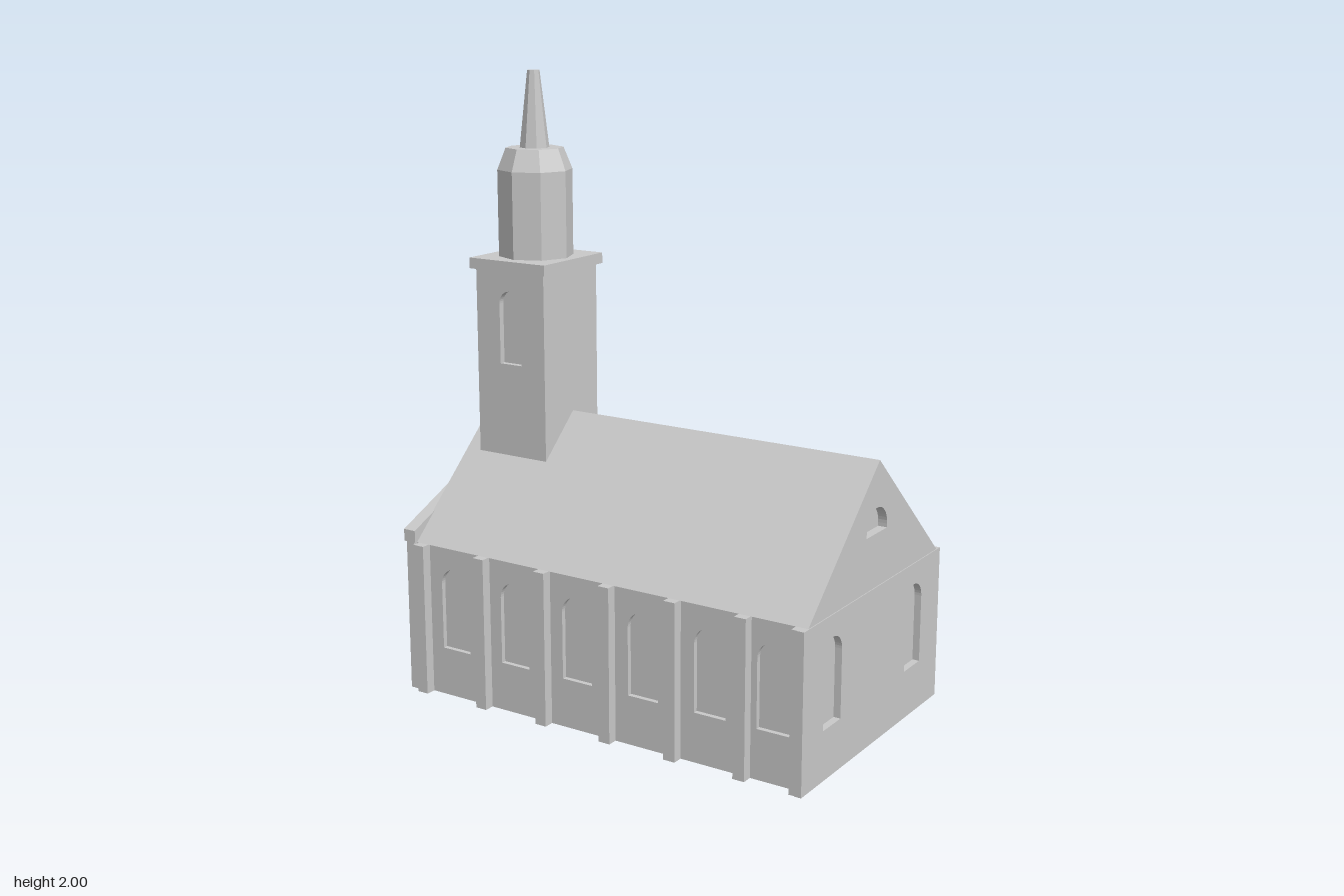
import * as THREE from 'three';

const stone = new THREE.MeshStandardMaterial({ color: 0xc8c8c8, flatShading: true });
stone.name = 'pale grey stone';

const EAVE = 0.505, RIDGE = 0.9, ZC = -0.007;

export function createModel() {
  const model = new THREE.Group();
  model.name = 'church';

  const add = (name, geometry, x = 0, y = 0, z = 0, turn = 0) => {
    const mesh = new THREE.Mesh(geometry, stone);
    mesh.name = name;
    mesh.position.set(x, y, z);
    mesh.rotation.y = turn;
    model.add(mesh);
    return mesh;
  };

  // Box given by its limits on each axis
  const block = (name, x0, x1, y0, y1, z0, z1) =>
    add(name, new THREE.BoxGeometry(x1 - x0, y1 - y0, z1 - z0),
      (x0 + x1) / 2, (y0 + y1) / 2, (z0 + z1) / 2);

  const polygon = (points) => new THREE.Shape(points.map(([u, v]) => new THREE.Vector2(u, v)));
  const rect = (u0, u1, v0, v1) => polygon([[u0, v0], [u1, v0], [u1, v1], [u0, v1]]);

  // Round-headed opening
  const arch = (u, v0, v1, width) => {
    const r = width / 2, path = new THREE.Path();
    path.moveTo(u - r, v0);
    path.lineTo(u + r, v0);
    path.lineTo(u + r, v1 - r);
    path.absarc(u, v1 - r, r, 0, Math.PI, false);
    path.closePath();
    return path;
  };

  // Wall panel with openings, extruded outwards
  const panel = (name, shape, holes, depth, x, z, turn) => {
    shape.holes.push(...holes);
    add(name, new THREE.ExtrudeGeometry(shape, { depth, bevelEnabled: false, curveSegments: 10 }), x, 0, z, turn);
  };

  // Nave core, which forms the backs of the window recesses
  block('naveCore', -0.69, 0.735, 0, EAVE, ZC - 0.405, ZC + 0.405);

  // Long side walls with six arched windows each
  const bays = [-0.535, -0.295, -0.055, 0.19, 0.427, 0.642];
  for (const s of [1, -1]) {
    const outline = s > 0 ? rect(-0.69, 0.735, 0, EAVE) : rect(-0.735, 0.69, 0, EAVE);
    panel(s > 0 ? 'frontWall' : 'backWall', outline,
      bays.map((x) => arch(s * x, 0.16, 0.435, 0.11)), 0.016, 0, ZC + s * 0.405, s > 0 ? 0 : Math.PI);
  }

  // Buttresses along both long sides
  for (const x of [-0.657, -0.413, -0.175, 0.068, 0.305, 0.547, 0.735]) {
    const w = 0.02;
    block('frontButtress', x - w, x + w, 0, EAVE, 0.40, 0.448);
    block('backButtress', x - w, x + w, 0, EAVE, -0.455, -0.40);
  }

  // Plain end wall with two windows
  panel('endWall', rect(-0.45, 0.455, 0, EAVE),
    [-0.27, 0.27].map((u) => arch(u, 0.16, 0.435, 0.11)), 0.023, 0.735, 0, Math.PI / 2);

  // Roof prism and the gable with its half-round window
  const gable = () => polygon([[-0.42, EAVE], [0.434, EAVE], [-ZC, RIDGE]]);
  panel('roof', gable(), [], 1.415, -0.69, 0, Math.PI / 2);
  panel('endGable', gable(), [arch(0, 0.675, 0.755, 0.136)], 0.03, 0.725, 0, Math.PI / 2);

  // Entrance facade: wall, pilasters, door block, cornice and pediment
  panel('entranceWall', rect(-0.44, 0.43, 0, EAVE),
    [-0.228, 0.21].map((u) => arch(u, 0.16, 0.435, 0.1)), 0.03, -0.69, 0, -Math.PI / 2);
  for (const z of [-0.33, -0.125, 0.105, 0.313])
    block('pilaster', -0.747, -0.715, 0, EAVE, z - 0.024, z + 0.024);
  block('doorBlock', -0.765, -0.715, 0, 0.175, -0.065, 0.055);
  block('entranceCornice', -0.73, -0.685, EAVE, 0.545, -0.44, 0.43);
  panel('pediment', polygon([[-0.44, 0.545], [0.43, 0.545], [-0.005, 0.735]]), [], 0.045, -0.685, 0, -Math.PI / 2);

  // Tower with a window on the front and back
  const TX = -0.5;
  block('towerCore', TX - 0.135, TX + 0.135, 0.7, 1.37, -0.125, 0.125);
  for (const s of [1, -1])
    panel(s > 0 ? 'towerFrontWall' : 'towerBackWall', rect(-0.135, 0.135, 0.7, 1.37),
      [arch(0, 1.065, 1.305, 0.085)], 0.02, TX, s * 0.125, s > 0 ? 0 : Math.PI);
  block('towerCornice', TX - 0.15, TX + 0.15, 1.37, 1.405, -0.16, 0.16);

  // Eight-sided lantern, its sloped cap and the spire
  const drum = (name, top, bottom, y0, y1) =>
    add(name, new THREE.CylinderGeometry(top, bottom, y1 - y0, 8), TX, (y0 + y1) / 2, 0);
  drum('lantern', 0.122, 0.122, 1.405, 1.685);
  drum('lanternCap', 0.094, 0.122, 1.685, 1.755);
  drum('spire', 0.02, 0.048, 1.755, 2);

  return model;
}
